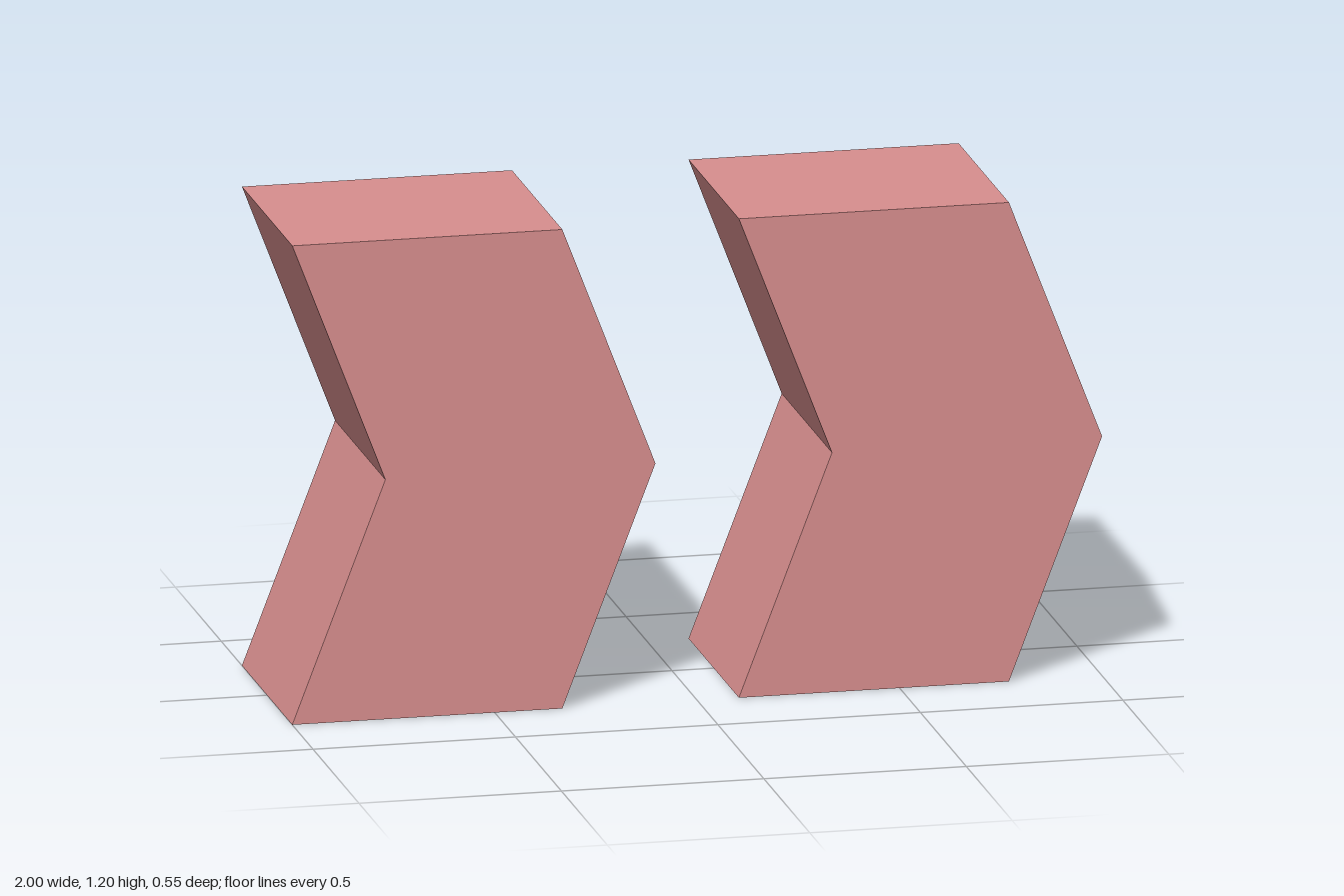
import * as THREE from 'three';

const HEIGHT = 1.197, DEPTH = 0.548, WIDTH = 0.667, POINT = 0.23;

export function createModel() {
  const group = new THREE.Group();
  group.name = 'doubleChevron';
  const rose = new THREE.MeshStandardMaterial({ color: 0xd98f8f });
  rose.name = 'dustyRose';

  // Chevron outline, pointing towards +x
  const outline = new THREE.Shape([
    [0, 0], [WIDTH, 0], [WIDTH + POINT, HEIGHT / 2],
    [WIDTH, HEIGHT], [0, HEIGHT], [POINT, HEIGHT / 2],
  ].map(([x, y]) => new THREE.Vector2(x, y)));

  // Solid block, centred in depth
  const geometry = new THREE.ExtrudeGeometry(outline, { depth: DEPTH, bevelEnabled: false });
  geometry.translate(0, 0, -DEPTH / 2);

  // Two matching chevrons side by side
  for (const [name, x] of [['rightChevron', -1], ['leftChevron', 1 - WIDTH - POINT]]) {
    const chevron = new THREE.Mesh(geometry, rose);
    chevron.name = name;
    chevron.position.x = x;
    group.add(chevron);
  }
  return group;
}
